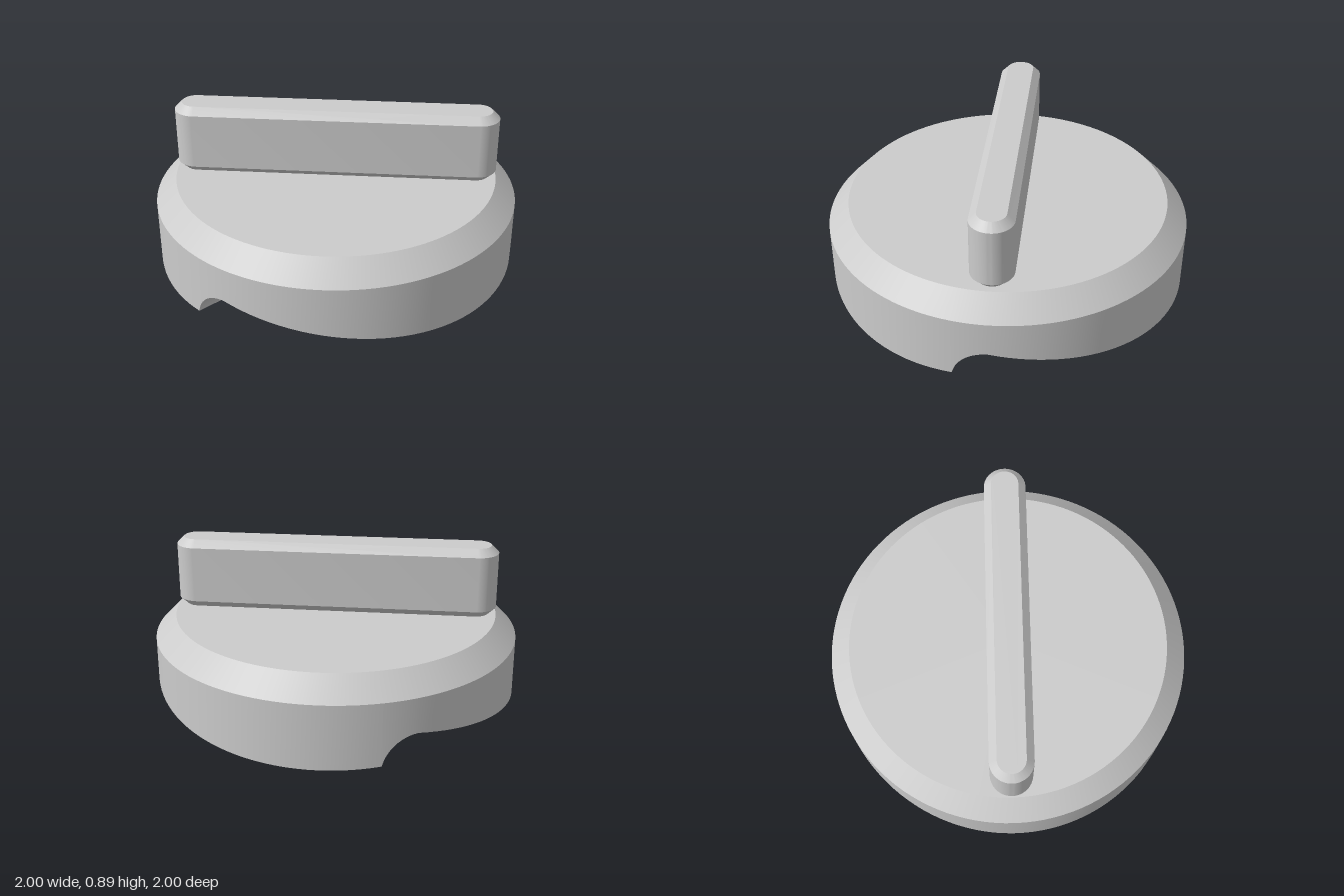
import * as THREE from 'three';
import { toCreasedNormals } from 'three/addons/utils/BufferGeometryUtils.js';

const material = new THREE.MeshStandardMaterial({ color: 0xcccccc });
const rad = THREE.MathUtils.degToRad;

// Lower rim of the disc: three ramps, each ending in a rounded notch
function rimPoints() {
  const points = [], arc = 10.8, arcSteps = 10, rampSteps = 36;
  for (let k = 0; k < 3; k++) {
    for (let i = 0; i < arcSteps; i++) {
      const s = Math.sin(i / arcSteps * Math.PI / 2); // finer steps where the arc is steep
      const a = arc * s;
      points.push([rad(k * 120 + a), Math.sqrt(0.04 - (1.035 * Math.sin(rad(a))) ** 2)]);
    }
    for (let i = 0; i < rampSteps; i++) {
      const a = arc + (120 - arc) * i / rampSteps;
      points.push([rad(k * 120 + a), 0.2 - 0.162 * Math.sin(rad(120 - a))]);
    }
  }
  return points;
}

// Disc: flat top, chamfer, side wall, and an underside running from the rim to a central point
function discGeometry() {
  const columns = rimPoints().map(([a, y]) =>
    [[0, 0.507], [0.885, 0.507], [1, 0.39], [1, y], [0, 0]]
      .map(([r, h]) => [r * Math.cos(a), h, r * Math.sin(a)]));
  const positions = [];
  columns.forEach((c, i) => {
    const d = columns[(i + 1) % columns.length];
    for (let k = 0; k < 4; k++) {
      if (k < 3) positions.push(...c[k], ...d[k + 1], ...c[k + 1]);
      if (k > 0) positions.push(...c[k], ...d[k], ...d[k + 1]);
    }
  });
  const geometry = new THREE.BufferGeometry();
  geometry.setAttribute('position', new THREE.Float32BufferAttribute(positions, 3));
  return toCreasedNormals(geometry, 0.5);
}

// Grip: bar with round ends, chamfered along its top and bottom edges
function gripGeometry() {
  const bevel = 0.04, r = 0.075, x = 0.77, bottom = 0.507, top = 0.895;
  const shape = new THREE.Shape();
  shape.absarc(x, 0, r, -Math.PI / 2, Math.PI / 2);
  shape.absarc(-x, 0, r, Math.PI / 2, Math.PI * 1.5);
  const geometry = new THREE.ExtrudeGeometry(shape, {
    depth: top - bottom - 2 * bevel, curveSegments: 20,
    bevelSize: bevel, bevelThickness: bevel, bevelSegments: 1,
  });
  geometry.rotateX(-Math.PI / 2).translate(0, bottom + bevel, 0);
  return toCreasedNormals(geometry, 0.5);
}

export function createModel() {
  const group = new THREE.Group();
  group.name = 'knob';
  const add = (name, geometry) => {
    const mesh = new THREE.Mesh(geometry, material);
    mesh.name = name;
    group.add(mesh);
  };
  add('disc', discGeometry());
  add('grip', gripGeometry());
  return group;
}
